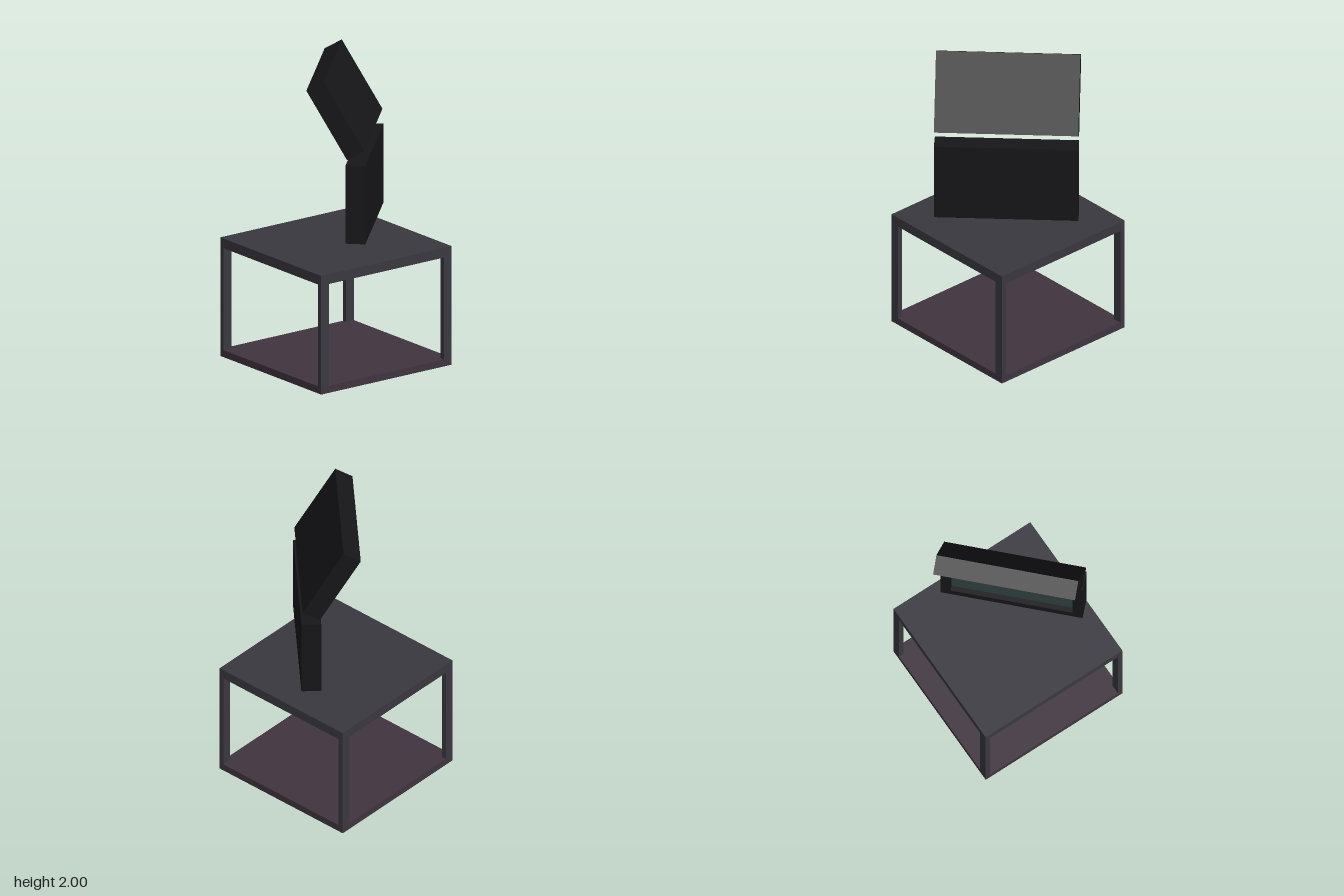
import * as THREE from 'three';

const material = (color, extra = {}) => new THREE.MeshStandardMaterial({ color, ...extra });

function part(name, geometry, mat, x = 0, y = 0, z = 0) {
  const mesh = new THREE.Mesh(geometry, mat);
  mesh.name = name;
  mesh.position.set(x, y, z);
  return mesh;
}

// Table: top slab, floor slab and four flat corner posts
function createTable() {
  const grey = material(0x3a383f);
  const plum = material(0x40343f);
  const size = 1.052, half = size / 2;
  const floorH = 0.047, topY = 0.727, tableH = 0.792;
  const postX = 0.034, postZ = 0.064;

  const table = new THREE.Group();
  table.name = 'table';
  table.add(part('tableTop', new THREE.BoxGeometry(size, tableH - topY, size), grey, 0, (topY + tableH) / 2));
  table.add(part('lowerShelf', new THREE.BoxGeometry(size, floorH, size), plum, 0, floorH / 2));
  const post = new THREE.BoxGeometry(postX, topY - floorH, postZ);
  for (const sx of [-1, 1]) {
    for (const sz of [-1, 1]) {
      table.add(part('tablePost', post, grey,
        sx * (half - postX / 2), (topY + floorH) / 2, sz * (half - postZ / 2)));
    }
  }
  return table;
}

// Monitor centred on its own origin, screen facing +z
function createMonitor(name) {
  const w = 0.922, h = 0.523, depth = 0.127, border = 0.065, recess = 0.035;
  const black = material(0x161518);
  const glass = material(0x2e4040);
  const front = depth / 2, screenZ = front - recess;

  const rect = (Type, a, b) => new Type([
    new THREE.Vector2(-a, -b), new THREE.Vector2(a, -b),
    new THREE.Vector2(a, b), new THREE.Vector2(-a, b),
  ]);
  const innerW = w / 2 - border, innerH = h / 2 - border;
  const bezelShape = rect(THREE.Shape, w / 2, h / 2);
  bezelShape.holes.push(rect(THREE.Path, innerW, innerH));

  const monitor = new THREE.Group();
  monitor.name = name;
  const backDepth = depth - recess;
  monitor.add(part('monitorBack', new THREE.BoxGeometry(w, h, backDepth), black, 0, 0, -front + backDepth / 2));
  monitor.add(part('monitorBezel',
    new THREE.ExtrudeGeometry(bezelShape, { depth: recess, bevelEnabled: false }), black, 0, 0, screenZ));
  monitor.add(part('screen', new THREE.PlaneGeometry(innerW * 2, innerH * 2), glass, 0, 0, screenZ + 0.001));
  return monitor;
}

export function createModel() {
  const model = new THREE.Group();
  model.name = 'monitorStation';
  model.add(createTable());

  // Pair of monitors turned 45 degrees, the upper one leaning forward
  const monitors = new THREE.Group();
  monitors.name = 'monitors';
  monitors.rotation.y = -Math.PI / 4;

  const lower = createMonitor('lowerMonitor');
  lower.position.set(0, 1.187, -0.184);

  const upper = createMonitor('upperMonitor');
  upper.position.set(0, 1.742, -0.054);
  upper.rotation.x = Math.PI / 6;

  monitors.add(lower, upper);
  model.add(monitors);
  return model;
}
